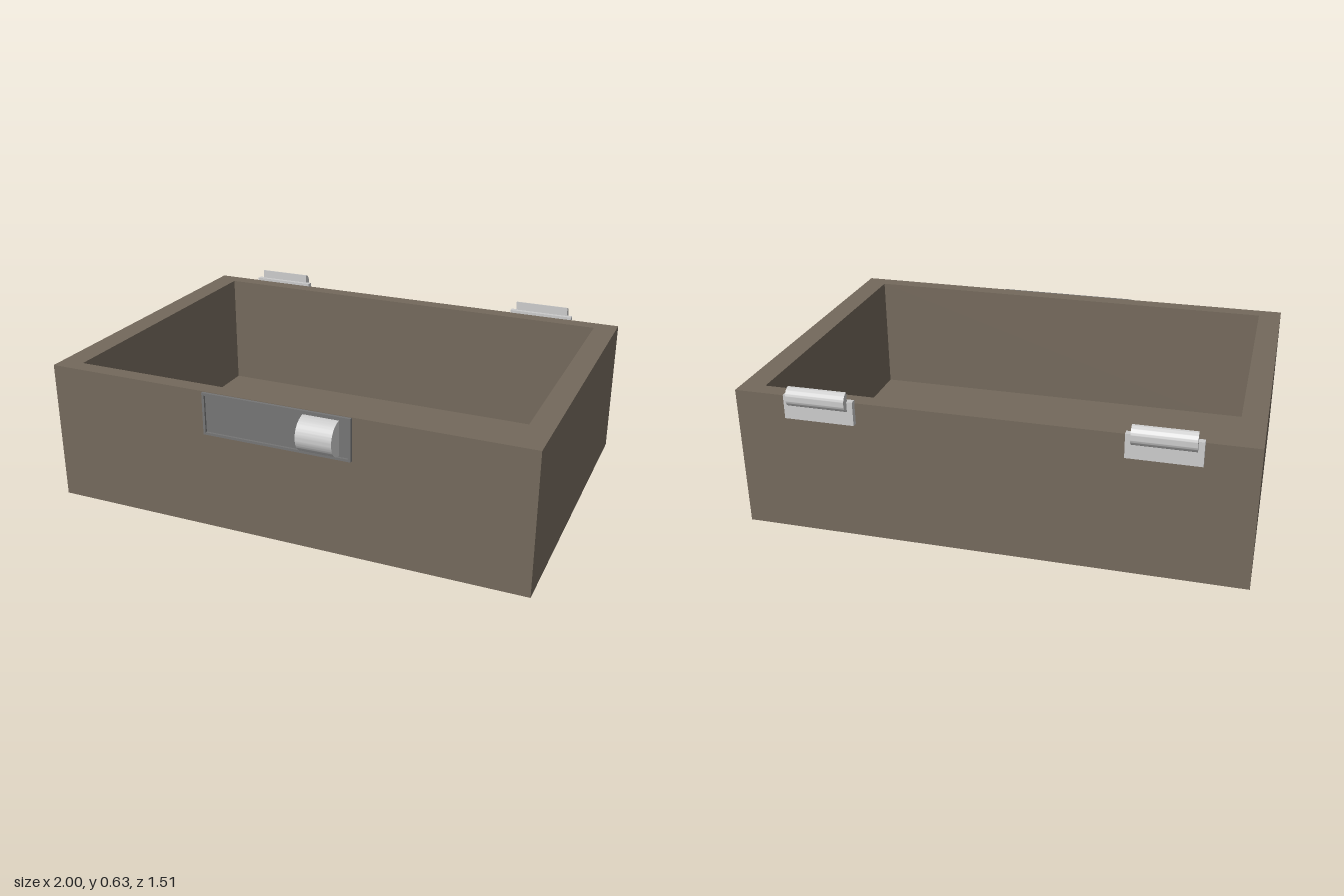
import * as THREE from 'three';
import { toCreasedNormals } from 'three/addons/utils/BufferGeometryUtils.js';

const wood = new THREE.MeshStandardMaterial({ color: 0x74695c });
const darkMetal = new THREE.MeshStandardMaterial({ color: 0x757575 });
const metal = new THREE.MeshStandardMaterial({ color: 0xcccccc });

function add(parent, name, geometry, material, x = 0, y = 0, z = 0) {
  const mesh = new THREE.Mesh(geometry, material);
  mesh.name = name;
  mesh.position.set(x, y, z);
  parent.add(mesh);
  return mesh;
}

// Box given by its extents
function block(parent, name, material, [x0, x1], [y0, y1], [z0, z1]) {
  const geometry = new THREE.BoxGeometry(x1 - x0, y1 - y0, z1 - z0);
  return add(parent, name, geometry, material, (x0 + x1) / 2, (y0 + y1) / 2, (z0 + z1) / 2);
}

// Rectangular shape, optionally used as a hole
function rect(x0, x1, y0, y1, Type = THREE.Shape) {
  return new Type([[x0, y0], [x1, y0], [x1, y1], [x0, y1]].map(([x, y]) => new THREE.Vector2(x, y)));
}

// Half-round bar along x, bulging towards facing * z
function halfRound(length, radius, depth, facing) {
  const shape = new THREE.Shape();
  shape.moveTo(0, -radius);
  shape.absellipse(0, 0, depth, radius, -Math.PI / 2, Math.PI / 2, false);
  shape.closePath();
  const geometry = new THREE.ExtrudeGeometry(shape, { depth: length, bevelEnabled: false, curveSegments: 20 });
  geometry.translate(0, 0, -length / 2);
  geometry.rotateY(-facing * Math.PI / 2);
  return toCreasedNormals(geometry, 0.6);
}

export function createModel() {
  const model = new THREE.Group();
  model.name = 'openBox';

  // Four walls around an open interior
  const outline = rect(-1, 1, -0.68, 0.705);
  outline.holes.push(rect(-0.905, 0.905, -0.615, 0.64, THREE.Path));
  const walls = new THREE.ExtrudeGeometry(outline, { depth: 0.58, bevelEnabled: false });
  walls.rotateX(-Math.PI / 2);
  add(model, 'walls', walls, wood);
  block(model, 'floor', wood, [-0.905, 0.905], [0, 0.065], [-0.64, 0.615]);

  // Latch: rimmed plate with a sliding knob
  const latch = new THREE.Group();
  latch.name = 'latch';
  model.add(latch);
  const rim = rect(-0.308, 0.308, 0.405, 0.578);
  rim.holes.push(rect(-0.298, 0.298, 0.415, 0.568, THREE.Path));
  add(latch, 'latchRim', new THREE.ExtrudeGeometry(rim, { depth: 0.014, bevelEnabled: false }), darkMetal, 0, 0, 0.678);
  block(latch, 'latchPanel', darkMetal, [-0.3, 0.3], [0.412, 0.571], [0.675, 0.683]);
  add(latch, 'latchKnob', halfRound(0.145, 0.07, 0.071, 1), metal, 0.186, 0.49, 0.683);

  // Pair of hinges on the back edge
  for (const [side, x] of [['right', -0.66], ['left', 0.648]]) {
    const hinge = new THREE.Group();
    hinge.name = side + 'Hinge';
    hinge.position.x = x;
    model.add(hinge);
    block(hinge, 'hingePlate', metal, [-0.14, 0.14], [0.495, 0.592], [-0.727, -0.703]);
    add(hinge, 'hingeBarrel', halfRound(0.235, 0.039, 0.034, -1), metal, 0, 0.59, -0.72);
  }
  return model;
}
